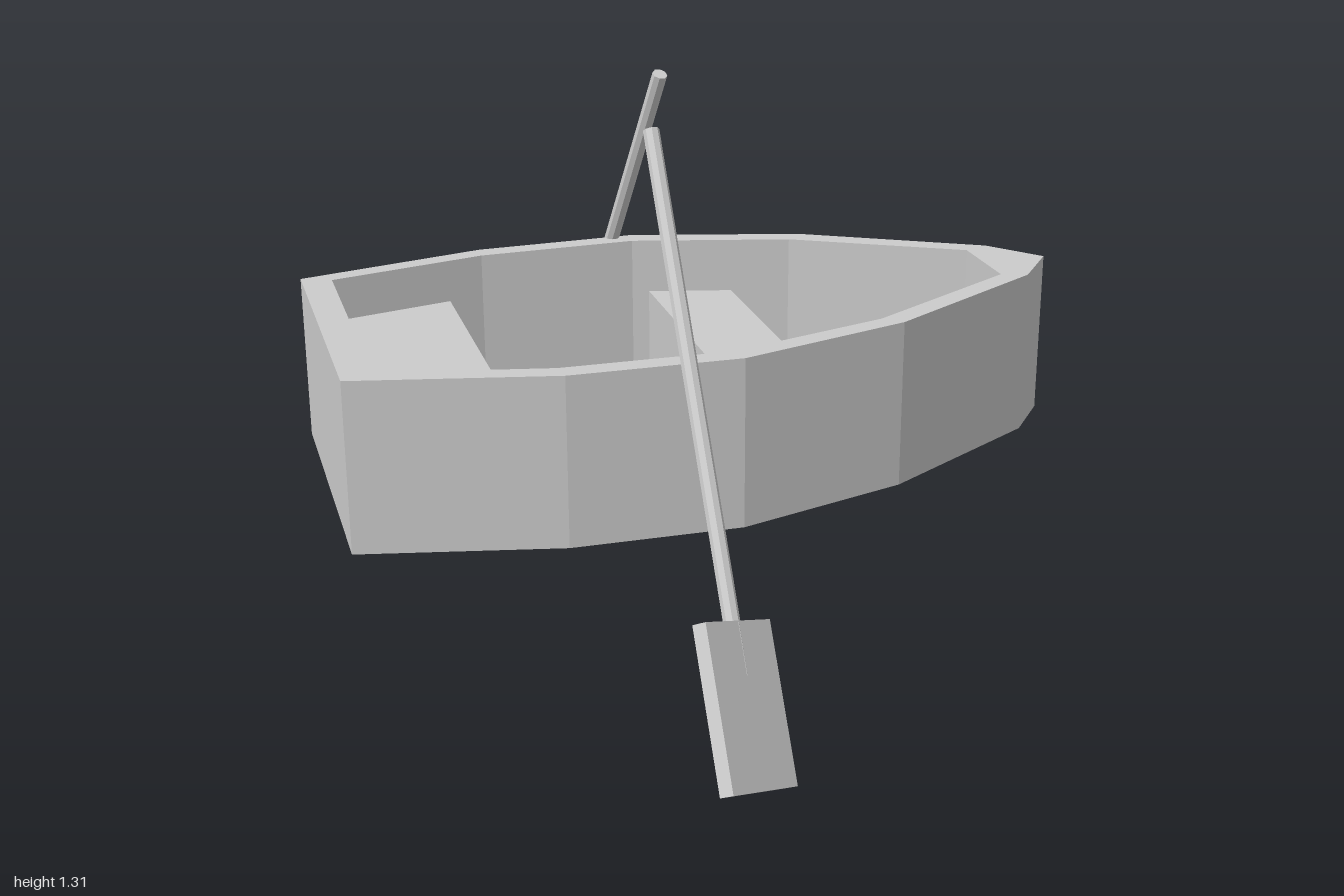
import * as THREE from 'three';

const material = new THREE.MeshStandardMaterial({ color: 0xcccccc, flatShading: true });

const KEEL_Z = -0.0375, BOTTOM = 0.45, FLOOR = 0.51, RIM = 0.845;

// Half-width stations [x, halfWidth], stern to bow
const OUTER = [[-0.88, 0.352], [-0.43, 0.457], [-0.04, 0.467], [0.37, 0.352], [0.78, 0.122], [0.88, 0]];
const INNER = [[-0.81, 0.322], [-0.435, 0.408], [-0.05, 0.418], [0.33, 0.315], [0.72, 0.1]];

// Mirrors stations across the keel line into a closed outline
function outline(stations) {
  const far = stations.filter(([, w]) => w > 0).map(([x, w]) => new THREE.Vector2(x, w)).reverse();
  return [...stations.map(([x, w]) => new THREE.Vector2(x, -w)), ...far];
}

// Inner half-width at any x
function innerWidth(x) {
  const i = INNER.findIndex((s, k) => k > 0 && x <= s[0]);
  const [x0, w0] = INNER[i - 1], [x1, w1] = INNER[i];
  return w0 + (w1 - w0) * (x - x0) / (x1 - x0);
}

// Upright slab with the given plan between two heights
function slab(name, points, y0, y1, hole) {
  const shape = new THREE.Shape(points);
  if (hole) shape.holes.push(new THREE.Path(hole));
  const geometry = new THREE.ExtrudeGeometry(shape, { depth: y1 - y0, bevelEnabled: false });
  geometry.rotateX(-Math.PI / 2).translate(0, y0, 0);
  const mesh = new THREE.Mesh(geometry, material);
  mesh.name = name;
  return mesh;
}

// Bench reaching from wall to wall and down to the floor
function seat(name, x0, x1, top) {
  const ends = [x0, x1].map((x) => [x, innerWidth(x) + 0.005]);
  return slab(name, outline(ends), FLOOR - 0.01, top);
}

// Oar from its grip end to the blade centre; across gives the blade's width direction
function oar(name, grip, blade, across) {
  const group = new THREE.Group();
  group.name = name;
  const up = grip.clone().sub(blade);
  const reach = up.length();
  up.normalize();
  const normal = across.clone().cross(up).normalize();
  const side = up.clone().cross(normal);
  group.quaternion.setFromRotationMatrix(new THREE.Matrix4().makeBasis(side, up, normal));
  group.position.copy(blade);

  const start = 0.06;
  const shaft = new THREE.Mesh(new THREE.CylinderGeometry(0.018, 0.018, reach - start, 8), material);
  shaft.name = 'shaft';
  shaft.position.y = (reach + start) / 2;
  const paddle = new THREE.Mesh(new THREE.BoxGeometry(0.213, 0.345, 0.035), material);
  paddle.name = 'blade';
  group.add(shaft, paddle);
  return group;
}

export function createModel() {
  const model = new THREE.Group();
  model.name = 'rowingBoat';

  // Hull: straight walls around a flat bottom, with two benches
  const hull = new THREE.Group();
  hull.name = 'hull';
  hull.position.z = KEEL_Z;
  hull.add(
    slab('walls', outline(OUTER), FLOOR, RIM, outline(INNER)),
    slab('bottom', outline(OUTER), BOTTOM, FLOOR),
    seat('sternSeat', -0.81, -0.52, 0.742),
    seat('middleSeat', -0.01, 0.19, 0.712)
  );

  // Oars resting on each gunwale at slightly different angles
  const v = (x, y, z) => new THREE.Vector3(x, y, z);
  model.add(
    hull,
    oar('frontOar', v(-0.163, 1.28, 0.14), v(-0.17, 0.252, 0.839), v(0.17, -0.06, -0.11)),
    oar('backOar', v(-0.027, 1.307, -0.268), v(-0.177, 0.203, -0.827), v(0.06, 0.09, -0.19))
  );
  return model;
}
